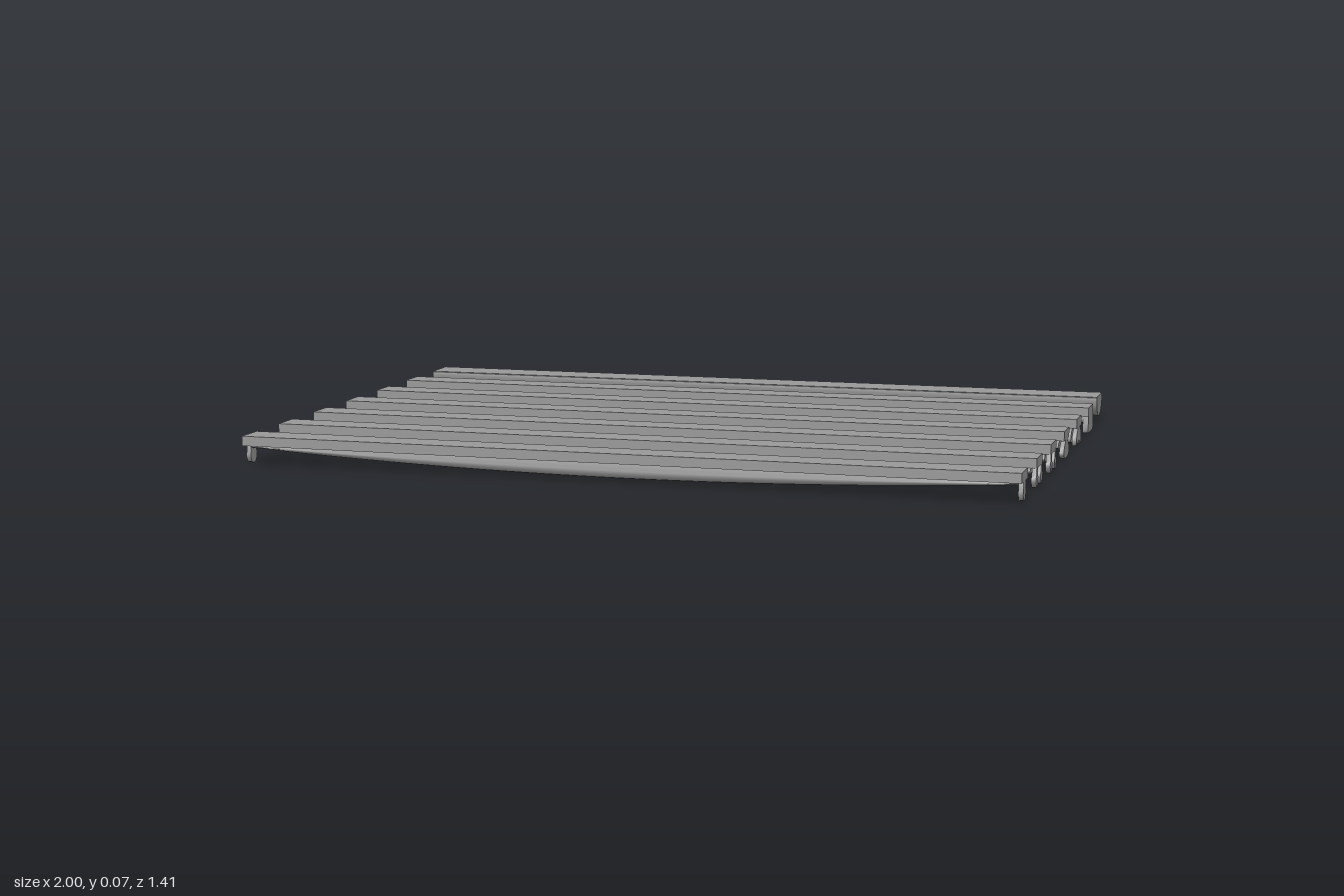
import * as THREE from 'three';

const concrete = new THREE.MeshStandardMaterial({ color: 0x999999 });
concrete.name = 'concrete grey';

// Solid skin through closed cross-sections of [z, y] points, from x0 to x1
function loft(name, x0, x1, steps, section) {
  const pos = [], index = [];
  let n = 0;
  for (let i = 0; i <= steps; i++) {
    const x = x0 + (x1 - x0) * i / steps;
    const ring = section(x);
    n = ring.length;
    ring.forEach(([z, y]) => pos.push(x, y, z));
  }
  for (let i = 0; i < steps; i++) {
    for (let j = 0; j < n; j++) {
      const a = i * n + j, b = i * n + (j + 1) % n;
      index.push(a, b, a + n, b, b + n, a + n);
    }
  }
  // End faces with their own corners, so the rims stay sharp
  for (const end of [0, steps]) {
    const base = pos.length / 3;
    const ring = [];
    for (let j = 0; j < n; j++) {
      const k = (end * n + j) * 3;
      ring.push(new THREE.Vector2(pos[k + 2], pos[k + 1]));
    }
    ring.forEach((p) => pos.push(end ? x1 : x0, p.y, p.x));
    THREE.ShapeUtils.triangulateShape(ring, []).forEach(([a, b, c]) => {
      const p = ring[a], q = ring[b], r = ring[c];
      const ccw = (q.x - p.x) * (r.y - p.y) - (q.y - p.y) * (r.x - p.x) > 0;
      // With z to the right and y up, a clockwise face looks along +x
      if (ccw === (end === 0)) index.push(base + a, base + b, base + c);
      else index.push(base + a, base + c, base + b);
    });
  }
  const geo = new THREE.BufferGeometry();
  geo.setAttribute('position', new THREE.Float32BufferAttribute(pos, 3));
  geo.setIndex(index);
  geo.computeVertexNormals();
  const mesh = new THREE.Mesh(geo, concrete);
  mesh.name = name;
  return mesh;
}

// Mirrors a half profile [half width, height fraction] listed from top to bottom
function symmetric(half, top, bottom, centre = 0) {
  const at = (s) => ([w, f]) => [centre + s * w, bottom + (top - bottom) * f];
  const right = half.map(at(1));
  const left = half.filter(([w]) => w > 0).map(at(-1)).reverse();
  return [...right, ...left];
}

function flange() {
  const mesh = new THREE.Mesh(new THREE.BoxGeometry(2, 0.025, 0.086), concrete);
  mesh.name = 'flange';
  mesh.position.y = 0.0675;
  return mesh;
}

const bulb = [[0.016, 1], [0.016, 0.62], [0.019, 0.5], [0.018, 0.3], [0.011, 0.08], [0, 0]];
const twinBulb = [[0.009, 1], [0.009, 0.62], [0.017, 0.5], [0.016, 0.32], [0.008, 0.06], [0, 0]];
const mushroom = [[0.014, 1], [0.02, 0.86], [0.036, 0.65], [0.046, 0.38], [0.044, 0.2], [0.03, 0.05], [0, 0]];
const arched = [[0.014, 1], [0.02, 0.88], [0.036, 0.68], [0.044, 0.38], [0.044, 0.1], [0.028, 0], [0.02, 0.14], [0, 0.24]];

const sag = (x, end, mid) => end + (mid - end) * (1 - Math.pow(Math.abs(x) / 0.97, 2));

// End feet plus a sagging web between them
function web(group, half, centre, end, mid) {
  for (const s of [-1, 1]) {
    const a = s * 0.994, h = 0.006;
    group.add(loft('endFoot', a - h, a + h, 1, () => symmetric(half, 0.056, 0.006, centre)));
  }
  group.add(loft('belly', -0.985, 0.985, 40, (x) => symmetric(half, 0.056, sag(x, end, mid), centre)));
}

const builders = [
  ['singleWebBeam', (g) => { g.add(flange()); web(g, bulb, 0, 0.044, 0.012); }],
  ['twinWebBeam', (g) => { g.add(flange()); for (const s of [-1, 1]) web(g, twinBulb, s * 0.0345, 0.04, 0.012); }],
  ['twinBulbBeam', (g) => { g.add(flange()); for (const s of [-1, 1]) web(g, twinBulb, s * 0.0335, 0.034, 0.012); }],
  ['roundedBellyBeam', (g) => { g.add(flange()); web(g, mushroom, 0, 0.03, 0.01); }],
  ['archedBellyBeam', (g) => { g.add(flange()); web(g, arched, 0, 0.014, 0.03); }],
  // Full-width block with a slightly flared, shallowly rounded underside
  ['blockBeam', (g) => {
    g.add(flange());
    const block = [[0.043, 1], [0.045, 0.5], [0.047, 0.14], [0.04, 0.03], [0, 0]];
    g.add(loft('endBlock', -1, -0.985, 1, () => symmetric(block, 0.056, 0.009)));
    g.add(loft('endBlock', 0.985, 1, 1, () => symmetric(block, 0.056, 0.009)));
    g.add(loft('belly', -0.985, 0.985, 40, (x) =>
      symmetric(block.map(([w, f]) => [w * 0.93, f]), 0.056, sag(x, 0.036, 0.012))));
  }],
  // Half-round trough beam under a flat top
  ['halfRoundBeam', (g) => {
    const half = [[0.053, 1], [0.051, 0.8]];
    for (let i = 1; i <= 7; i++) {
      const a = i / 7 * Math.PI / 2;
      half.push([i === 7 ? 0 : 0.051 * Math.cos(a), 0.8 * (1 - Math.sin(a))]);
    }
    g.add(loft('halfRoundBody', -1, 0.993, 20, () => symmetric(half, 0.0785, 0.022)));
    const top = new THREE.Mesh(new THREE.BoxGeometry(1.993, 0.002, 0.106), concrete);
    top.name = 'flatTop';
    top.position.set(-0.0035, 0.079, 0);
    g.add(top);
  }],
];

export function createModel() {
  const model = new THREE.Group();
  model.name = 'beamSet';
  builders.forEach(([name, build], i) => {
    const beam = new THREE.Group();
    beam.name = name;
    build(beam);
    beam.position.z = 0.66 - i * 0.2195;
    model.add(beam);
  });
  return model;
}
